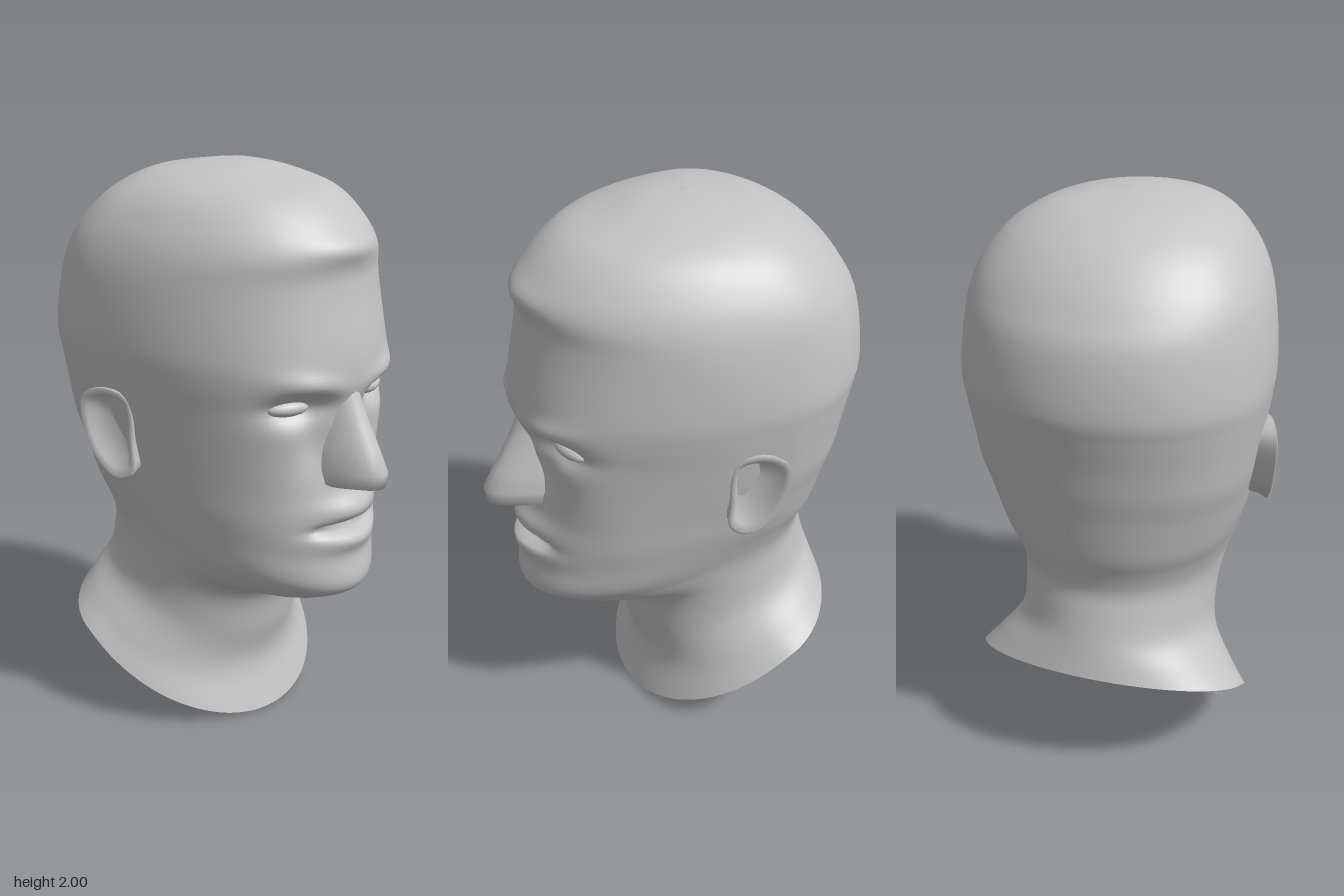
import * as THREE from 'three';

const skin = new THREE.MeshStandardMaterial({ color: 0xc4c4c4, side: THREE.DoubleSide });
skin.name = 'plain grey';

// Smooth skin over rows of points; "closed" joins the end of each row to its start
function loft(name, rows, closed) {
  const n = rows[0].length, pos = [], idx = [];
  rows.forEach((r) => r.forEach((p) => pos.push(p.x, p.y, p.z)));
  for (let j = 0; j < rows.length - 1; j++) {
    for (let i = 0; i < (closed ? n : n - 1); i++) {
      const k = (i + 1) % n;
      const a = j * n + i, b = j * n + k, c = a + n, d = b + n;
      idx.push(a, b, d, a, d, c);
    }
  }
  const g = new THREE.BufferGeometry();
  g.setAttribute('position', new THREE.Float32BufferAttribute(pos, 3));
  g.setIndex(idx);
  g.computeVertexNormals();
  const m = new THREE.Mesh(g, skin);
  m.name = name;
  return m;
}

const bump = (x, y, cx, cy, sx, sy) => Math.exp(-(((x - cx) / sx) ** 2) - ((y - cy) / sy) ** 2);

// Depth of the facial features at a point of the face
function relief(x, y) {
  const a = Math.abs(x);
  const browY = 1.33 + 0.18 * (a - 0.1);
  let d = -0.06 * bump(a, y, 0.19, 1.265, 0.09, 0.045);       // eye sockets
  d += 0.022 * bump(a, y, 0.18, browY, 0.11, 0.04);           // brows
  d -= 0.02 * bump(a, y, 0.13, 1.15, 0.05, 0.1);              // beside the nose
  d += 0.035 * bump(a, y, 0.29, 1.15, 0.12, 0.22);            // cheekbones
  d += 0.02 * bump(x, y, 0, 1.765, 0.14, 0.04);               // hairline
  d += 0.03 * bump(x, y, 0, 0.905, 0.13, 0.04);               // upper lip
  d += 0.025 * bump(x, y, 0, 0.795, 0.13, 0.035);             // lower lip
  d -= 0.06 * Math.exp(-((x / 0.14) ** 4) - ((y - 0.84) / 0.016) ** 2); // mouth slit
  return d;
}

// Rings: front y, z | side x, y, z | back y, z
const RINGS = [
  [0.0, 0.17, 0.485, 0.31, -0.28, 0.44, -0.59],
  [0.18, 0.12, 0.425, 0.375, -0.25, 0.5, -0.572],
  [0.32, 0.15, 0.35, 0.48, -0.2, 0.57, -0.552],
  [0.5, 0.21, 0.34, 0.61, -0.17, 0.65, -0.53],
  [0.56, 0.46, 0.35, 0.72, -0.15, 0.73, -0.512],
  [0.62, 0.555, 0.375, 0.8, -0.15, 0.8, -0.525],
  [0.74, 0.55, 0.405, 0.88, -0.17, 0.88, -0.555],
  [0.84, 0.545, 0.425, 0.94, -0.18, 0.96, -0.573],
  [0.96, 0.525, 0.445, 1.02, -0.2, 1.05, -0.59],
  [1.1, 0.51, 0.47, 1.12, -0.22, 1.14, -0.61],
  [1.24, 0.52, 0.49, 1.24, -0.22, 1.25, -0.63],
  [1.33, 0.54, 0.505, 1.34, -0.22, 1.36, -0.655],
  [1.42, 0.54, 0.515, 1.43, -0.22, 1.44, -0.67],
  [1.66, 0.5, 0.5, 1.62, -0.2, 1.65, -0.64],
  [1.75, 0.503, 0.475, 1.73, -0.2, 1.74, -0.59],
  [1.83, 0.455, 0.43, 1.82, -0.18, 1.82, -0.53],
  [1.915, 0.35, 0.36, 1.9, -0.15, 1.9, -0.44],
  [1.96, 0.2, 0.25, 1.96, -0.12, 1.965, -0.31],
  [1.99, 0.07, 0.12, 1.99, -0.1, 1.985, -0.2],
  [2.0, -0.08, 0.001, 2.0, -0.081, 2.0, -0.082],
];

function buildHead() {
  const curve = (f) => new THREE.CatmullRomCurve3(RINGS.map(f));
  const front = curve((r) => new THREE.Vector3(0, r[0], r[1]));
  const side = curve((r) => new THREE.Vector3(r[2], r[3], r[4]));
  const back = curve((r) => new THREE.Vector3(0, r[5], r[6]));
  const rows = [], steps = (RINGS.length - 1) * 7, cols = 96;
  for (let j = 0; j <= steps; j++) {
    const u = j / steps;
    const F = front.getPoint(u), S = side.getPoint(u), B = back.getPoint(u);
    const row = [];
    for (let i = 0; i < cols; i++) {
      const a = (i / cols) * Math.PI * 2;
      const t = a - 0.4 * Math.sin(a); // closer columns on the face
      const c = Math.cos(t), E = c > 0 ? F : B, k = Math.abs(c);
      const p = new THREE.Vector3(S.x * Math.sin(t), S.y + (E.y - S.y) * k, S.z + (E.z - S.z) * k);
      if (p.y > 0.6) p.z += relief(p.x, p.y) * THREE.MathUtils.smoothstep(p.z, 0.05, 0.35);
      row.push(p);
    }
    rows.push(row);
  }
  return loft('headAndNeck', rows, true);
}

// Nose sections: y, half width, front z
function buildNose() {
  const sections = [
    [0.975, 0.06, 0.48], [0.985, 0.09, 0.59], [1.0, 0.11, 0.662], [1.05, 0.115, 0.67],
    [1.12, 0.105, 0.632], [1.2, 0.09, 0.585], [1.28, 0.075, 0.545], [1.35, 0.07, 0.52],
  ];
  const base = 0.44;
  const rows = sections.map(([y, w, zf]) => {
    const row = [];
    for (let i = 0; i <= 16; i++) {
      const a = (i / 16 - 0.5) * Math.PI;
      const c = Math.max(0, Math.cos(a));
      row.push(new THREE.Vector3(w * Math.sin(a), y, base + (zf - base) * c ** 1.5));
    }
    return row;
  });
  return loft('nose', rows, false);
}

// Ear: outline swept from the head to the rim, then into the hollow
function buildEar(s) {
  const outline = [
    [-0.03, 1.2], [-0.05, 1.26], [-0.13, 1.285], [-0.195, 1.255], [-0.203, 1.18],
    [-0.155, 1.03], [-0.085, 0.965], [-0.03, 0.99], [-0.03, 1.1],
  ].map(([z, y]) => new THREE.Vector3(0, y, z));
  const pts = new THREE.CatmullRomCurve3(outline, true).getPoints(28).slice(0, -1);
  const cy = 1.16, cz = -0.11;
  // scale of the outline, offset from the rim plane
  const layers = [[0.85, -0.12], [0.92, -0.03], [1, -0.004], [0.95, 0.004], [0.8, -0.004], [0.65, -0.025], [0.3, -0.035], [0.01, -0.035]];
  const rows = layers.map(([k, off]) => pts.map((p) => {
    const z = cz + (p.z - cz) * k, y = cy + (p.y - cy) * k;
    return new THREE.Vector3(s * (0.457 - 0.45 * z + off), y, z);
  }));
  if (s < 0) rows.forEach((r) => r.reverse());
  return loft(s > 0 ? 'leftEar' : 'rightEar', rows, true);
}

function buildEye(s) {
  const eye = new THREE.Mesh(new THREE.SphereGeometry(1, 20, 12), skin);
  eye.name = s > 0 ? 'leftEye' : 'rightEye';
  eye.scale.set(0.075, 0.027, 0.035);
  eye.position.set(s * 0.2, 1.265, 0.42);
  eye.rotation.y = s * 0.35;
  return eye;
}

export function createModel() {
  const group = new THREE.Group();
  group.name = 'headBust';
  group.add(buildHead(), buildNose());
  for (const s of [1, -1]) group.add(buildEar(s), buildEye(s));
  return group;
}
